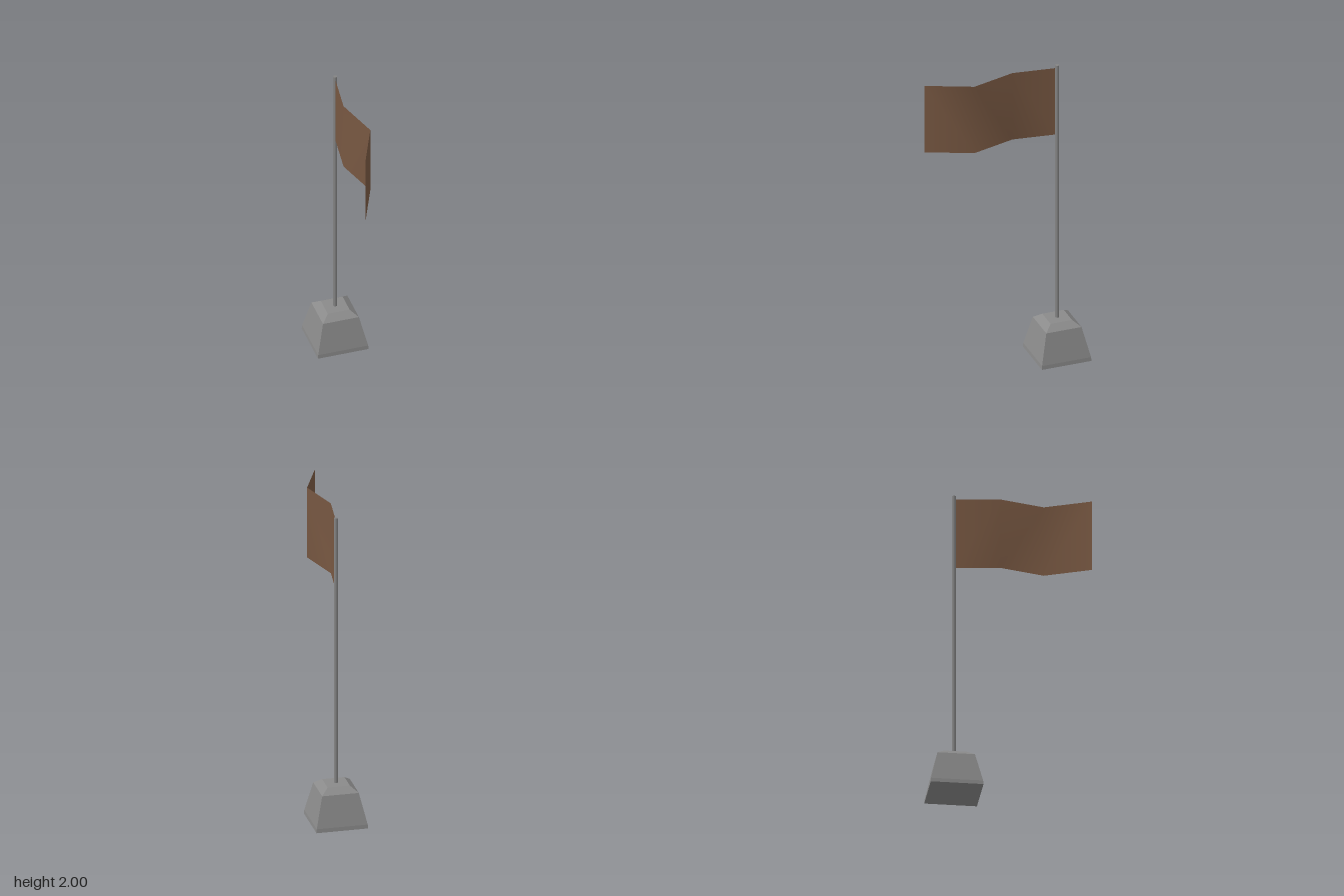
import * as THREE from 'three';

export function createModel() {
  const model = new THREE.Group();
  const stone = new THREE.MeshStandardMaterial({ color: 0x8a8a8a });
  stone.name = 'grey stone';
  const metal = new THREE.MeshStandardMaterial({ color: 0x848484 });
  metal.name = 'grey metal';
  const cloth = new THREE.MeshStandardMaterial({ color: 0x785842, side: THREE.DoubleSide });
  cloth.name = 'brown cloth';

  const add = (name, geometry, material) => {
    const mesh = new THREE.Mesh(geometry, material);
    mesh.name = name;
    model.add(mesh);
    return mesh;
  };

  const poleZ = -0.338;

  // Square tapering foot: [half width, height], spun in four flat sides
  const profile = [[0, 0], [0.162, 0], [0.16, 0.025], [0.115, 0.22], [0.07, 0.255], [0, 0.255]]
    .map(([half, y]) => new THREE.Vector2(half * Math.SQRT2, y));
  const footGeometry = new THREE.LatheGeometry(profile, 4, Math.PI / 4).toNonIndexed();
  footGeometry.computeVertexNormals();
  add('base', footGeometry, stone).position.z = poleZ;

  // Slender pole
  const poleHeight = 1.76;
  add('pole', new THREE.CylinderGeometry(0.0125, 0.0125, poleHeight, 10), metal)
    .position.set(0, 2 - poleHeight / 2, poleZ);

  // Flag: a sheet folded along a few vertical creases, [x, z] from the pole out
  const folds = [[0, poleZ], [-0.036, -0.06], [0.045, 0.22], [-0.075, 0.5]];
  const flagGeometry = new THREE.PlaneGeometry(1, 0.46, folds.length - 1, 1);
  const position = flagGeometry.attributes.position;
  for (let i = 0; i < position.count; i++) {
    const [x, z] = folds[i % folds.length];
    position.setXYZ(i, x, position.getY(i) + 1.75, z);
  }
  flagGeometry.computeVertexNormals();
  add('flag', flagGeometry, cloth);

  return model;
}
